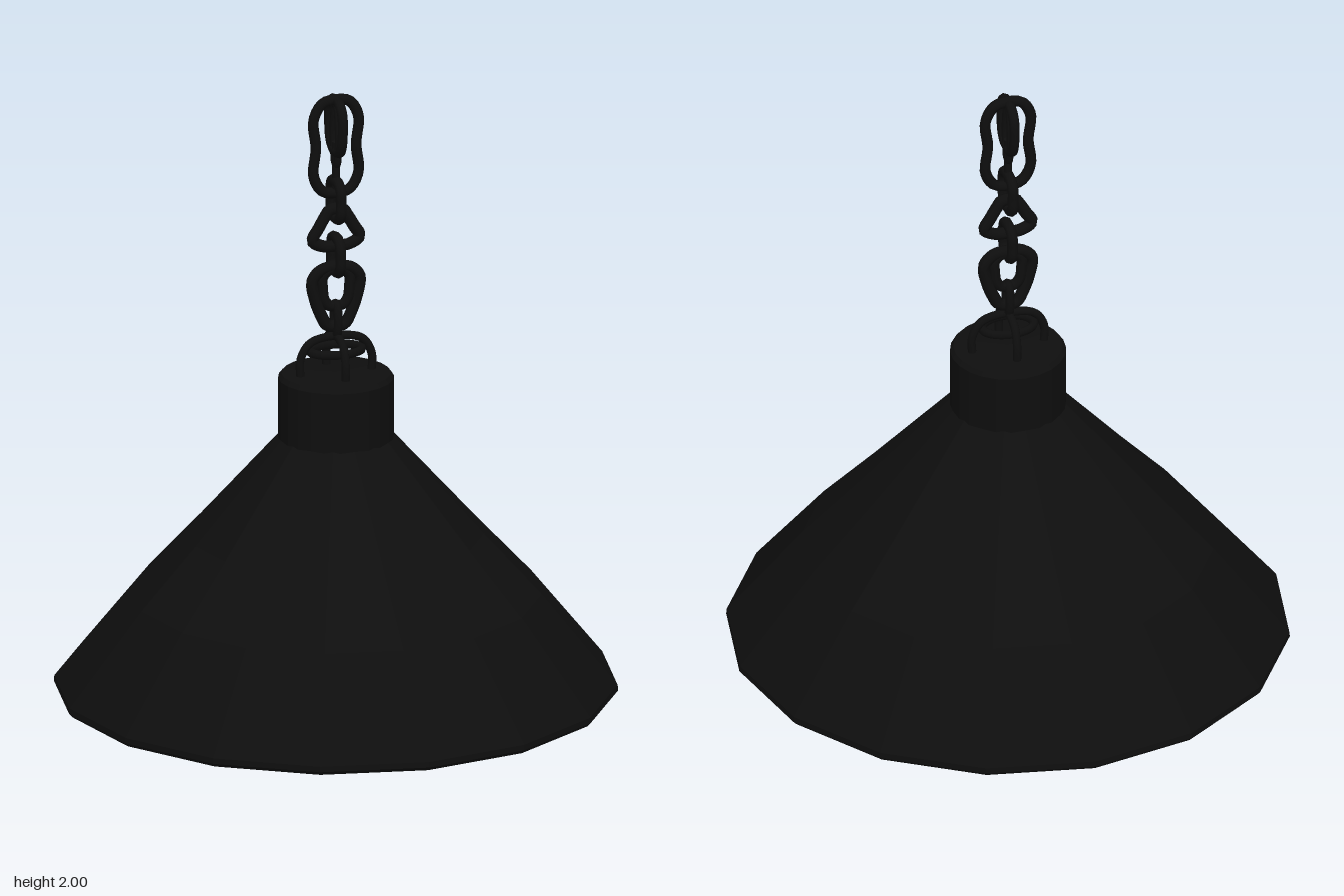
import * as THREE from 'three';

const black = new THREE.MeshStandardMaterial({ color: 0x0e0e0e });
const brown = new THREE.MeshStandardMaterial({ color: 0x3a2525 });
const amber = new THREE.MeshStandardMaterial({ color: 0xbf8844 });
const cream = new THREE.MeshStandardMaterial({ color: 0xc2ba92 });
black.name = 'black metal';
brown.name = 'brown lining';
amber.name = 'amber glass';
cream.name = 'cream glass';

const v2 = (pairs) => pairs.map(([x, y]) => new THREE.Vector2(x, y));

// Flat-faceted copy of a geometry
function faceted(geo) {
  const flat = geo.index ? geo.toNonIndexed() : geo;
  flat.computeVertexNormals();
  return flat;
}

// Sorts faces into two material groups: 0 where the rule fails, 1 where it holds
function splitFaces(geo, rule) {
  const src = faceted(geo).getAttribute('position');
  const sets = [[], []];
  const p = new THREE.Vector3(), c = new THREE.Vector3();
  for (let i = 0; i < src.count; i += 3) {
    c.set(0, 0, 0);
    const tri = [];
    for (let j = 0; j < 3; j++) {
      p.fromBufferAttribute(src, i + j);
      c.addScaledVector(p, 1 / 3);
      tri.push(p.x, p.y, p.z);
    }
    sets[rule(c) ? 1 : 0].push(...tri);
  }
  const out = new THREE.BufferGeometry();
  out.setAttribute('position', new THREE.Float32BufferAttribute(sets[0].concat(sets[1]), 3));
  out.addGroup(0, sets[0].length / 3, 0);
  out.addGroup(sets[0].length / 3, sets[1].length / 3, 1);
  out.computeVertexNormals();
  return out;
}

// Pulls a round lathe in to a 16-sided outline
function toSixteenSides(geo) {
  const pos = geo.getAttribute('position'), step = Math.PI / 8;
  for (let i = 0; i < pos.count; i++) {
    const a = Math.atan2(pos.getX(i), pos.getZ(i));
    const off = a - (Math.floor(a / step) + 0.5) * step;
    const k = Math.cos(step / 2) / Math.cos(off);
    pos.setX(i, pos.getX(i) * k);
    pos.setZ(i, pos.getZ(i) * k);
  }
  return geo;
}

// Closed chain link in the xy plane, w1/w2/w3 = half widths at top, waist, bottom
function linkGeometry(y0, y1, w1, w2, w3, r) {
  const h = y1 - y0 - 2 * r, b = y0 + r;
  const half = [[w3 * 0.6, 0.03], [w3, 0.2], [w2, 0.5], [w1, 0.8], [w1 * 0.6, 0.97]];
  const pts = [[0, 0], ...half, [0, 1], ...half.map(([x, t]) => [-x, t]).reverse()]
    .map(([x, t]) => new THREE.Vector3(x, b + t * h, 0));
  return new THREE.TubeGeometry(new THREE.CatmullRomCurve3(pts, true), 48, r, 8, true);
}

export function createModel() {
  const model = new THREE.Group();
  const add = (name, geo, mat, parent = model) => {
    const mesh = new THREE.Mesh(geo, mat);
    mesh.name = name;
    parent.add(mesh);
    return mesh;
  };

  // Conical shade with a thin rolled rim
  add('shadeOuter', faceted(new THREE.LatheGeometry(v2([
    [0.87, 0.002], [0.893, 0], [0.904, 0.012], [0.902, 0.03],
    [0.66, 0.33], [0.475, 0.53], [0.18, 0.86]]), 16)), black);

  // Lining, part brown and part black along a slanted edge
  const lining = [];
  for (let i = 0; i <= 28; i++) {
    const t = i / 28;
    lining.push([0.165 + 0.705 * t, 0.84 * (1 - t) + 0.002]);
  }
  add('shadeLining',
    splitFaces(toSixteenSides(new THREE.LatheGeometry(v2(lining), 96)),
      (c) => c.y > 0.44 - 0.47 * (c.z - c.x) * Math.SQRT1_2),
    [brown, black]);

  // Neck cap on top of the shade
  add('neck', faceted(new THREE.LatheGeometry(v2([
    [0.16, 0.84], [0.186, 0.85], [0.186, 1.05], [0.175, 1.064], [0, 1.066]]), 24)), black);

  // Socket and round bulb
  const socket = add('socket', new THREE.CylinderGeometry(0.1, 0.12, 0.4, 20), black);
  socket.position.y = 0.66;
  const bulb = add('bulb',
    splitFaces(new THREE.SphereGeometry(0.258, 32, 24),
      (c) => -0.79 * c.y + 0.61 * c.z + 0.03 * c.x > 0.17 * 0.258),
    [amber, cream]);
  bulb.position.y = 0.268;

  // Two crossed arches and a flat ring hold the chain
  const hanger = new THREE.Group();
  hanger.name = 'hanger';
  model.add(hanger);
  [[0.12, 0], [0.093, Math.PI / 2]].forEach(([w, turn]) => {
    const curve = new THREE.CatmullRomCurve3(
      [[-w, 1.05], [-w, 1.12], [-w * 0.72, 1.172], [0, 1.188], [w * 0.72, 1.172], [w, 1.12], [w, 1.05]]
        .map(([x, y]) => new THREE.Vector3(x, y, 0)));
    add('arch', new THREE.TubeGeometry(curve, 32, 0.014, 8), black, hanger).rotation.y = turn;
  });
  const ring = add('flatRing', new THREE.TorusGeometry(0.085, 0.015, 8, 28), black, hanger);
  ring.rotation.x = Math.PI / 2;
  ring.scale.y = 0.68;
  ring.position.y = 1.14;

  // Chain links: bottom, top, half widths, tube radius, turned to face sideways
  const chain = new THREE.Group();
  chain.name = 'chain';
  model.add(chain);
  [
    [1.65, 2.0, 0.076, 0.068, 0.076, 0.018, false],
    [1.79, 1.995, 0.062, 0.066, 0.058, 0.017, true],
    [1.75, 1.98, 0.02, 0.026, 0.02, 0.013, true],
    [1.565, 1.725, 0.05, 0.052, 0.05, 0.018, true],
    [1.47, 1.635, 0.038, 0.06, 0.08, 0.02, false],
    [1.385, 1.535, 0.044, 0.046, 0.044, 0.018, true],
    [1.2, 1.44, 0.08, 0.072, 0.05, 0.02, false],
    [1.27, 1.43, 0.045, 0.045, 0.04, 0.018, false],
    [1.18, 1.31, 0.018, 0.022, 0.02, 0.015, true],
  ].forEach(([y0, y1, w1, w2, w3, r, side]) => {
    const link = add('chainLink', linkGeometry(y0, y1, w1, w2, w3, r), black, chain);
    if (side) link.rotation.y = Math.PI / 2;
  });
  // Straight pin running through the upper links
  const pin = add('chainPin', new THREE.CylinderGeometry(0.014, 0.014, 0.16, 8), black, chain);
  pin.position.y = 1.76;

  return model;
}
